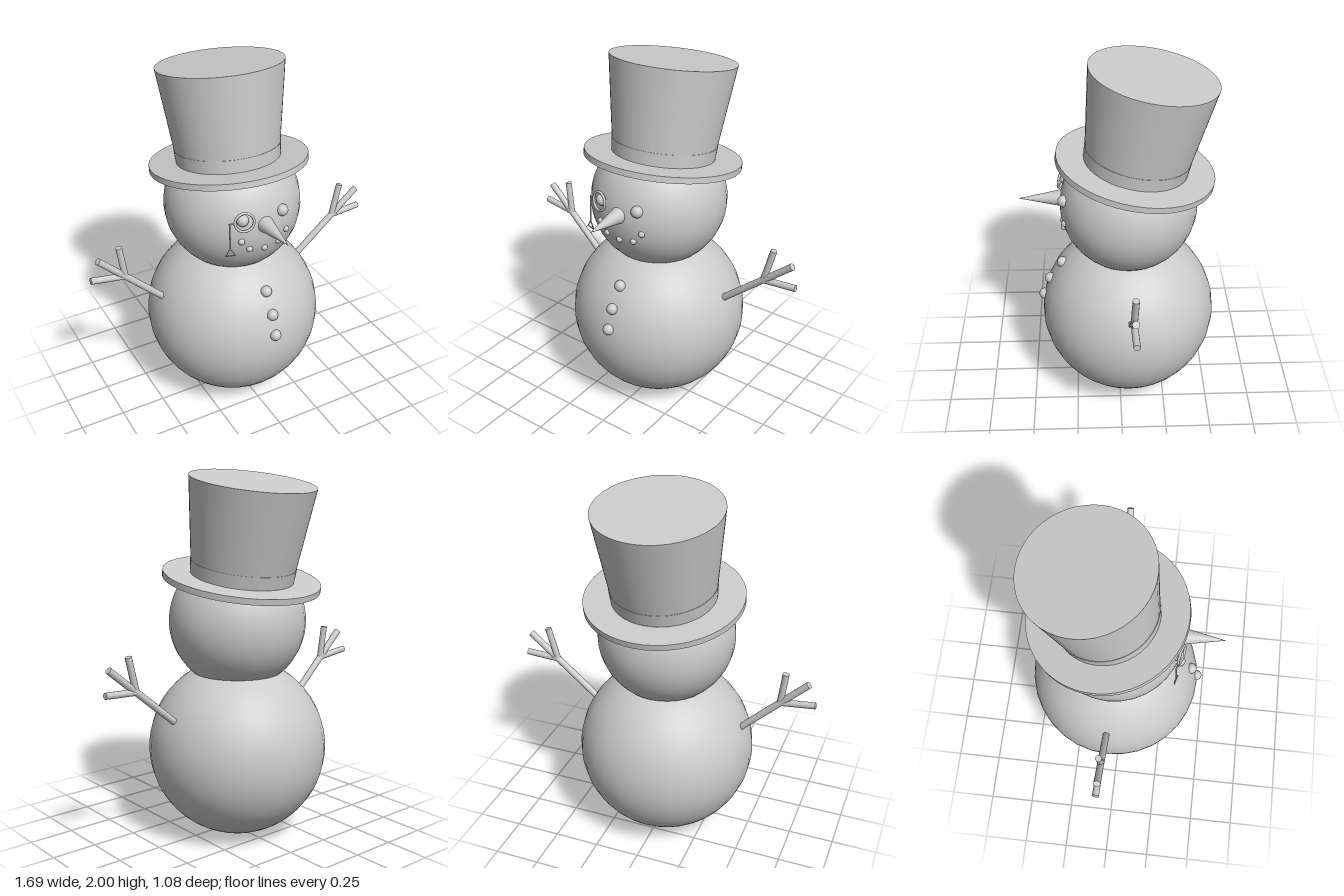
import * as THREE from 'three';

const material = new THREE.MeshStandardMaterial({ color: 0xcccccc });
const CX = -0.008, CZ = -0.05;
const BODY = { y: 0.49, r: 0.489 };
const HEAD = { y: 1.195, r: 0.371 };

function add(parent, name, geometry, x = 0, y = 0, z = 0) {
  const mesh = new THREE.Mesh(geometry, material);
  mesh.name = name;
  mesh.position.set(x, y, z);
  parent.add(mesh);
  return mesh;
}

// Front z of a snowball at a given x, y
function frontZ(ball, x, y) {
  return CZ + Math.sqrt(ball.r ** 2 - (x - CX) ** 2 - (y - ball.y) ** 2);
}

// Straight round stick between two points
function stick(parent, name, from, to, r0, r1 = r0) {
  const a = new THREE.Vector3(...from), b = new THREE.Vector3(...to);
  const dir = b.clone().sub(a);
  const mesh = add(parent, name, new THREE.CylinderGeometry(r1, r0, dir.length(), 12));
  mesh.position.copy(a).add(b).multiplyScalar(0.5);
  mesh.quaternion.setFromUnitVectors(new THREE.Vector3(0, 1, 0), dir.normalize());
  return mesh;
}

export function createModel() {
  const model = new THREE.Group();
  model.name = 'snowman';

  // Snowballs
  add(model, 'body', new THREE.SphereGeometry(BODY.r, 32, 32), CX, BODY.y, CZ);
  add(model, 'head', new THREE.SphereGeometry(HEAD.r, 32, 32), CX, HEAD.y, CZ);

  // Pebbles: eyes, mouth and buttons set into the surface
  const pebbles = (name, ball, r, points) => points.forEach(([x, y]) =>
    add(model, name, new THREE.SphereGeometry(r, 20, 14), x, y, frontZ(ball, x, y)));
  pebbles('eye', HEAD, 0.032, [[-0.13, 1.278], [0.1, 1.278]]);
  pebbles('mouthPebble', HEAD, 0.017,
    [[-0.138, 1.155], [-0.092, 1.1], [-0.008, 1.088], [0.077, 1.1], [0.127, 1.155]]);
  pebbles('button', BODY, 0.031, [[0, 0.81], [0, 0.7], [0, 0.588]]);

  // Carrot nose
  const nose = add(model, 'nose', new THREE.ConeGeometry(0.046, 0.235, 24), CX, 1.232, 0.422);
  nose.rotation.x = Math.PI / 2;

  // Monocle with hanging chain and triangular pendant
  const monocle = new THREE.Group();
  monocle.name = 'monocle';
  monocle.position.set(-0.13, 1.278, 0.313);
  monocle.rotation.set(-0.12, -0.28, 0);
  add(monocle, 'monocleRing', new THREE.TorusGeometry(0.05, 0.007, 10, 36));
  model.add(monocle);
  stick(model, 'chainLink', [-0.18, 1.278, 0.3], [-0.205, 1.278, 0.292], 0.004);
  stick(model, 'chain', [-0.205, 1.28, 0.292], [-0.205, 1.13, 0.3], 0.004);
  const pendant = add(model, 'pendant', new THREE.TorusGeometry(0.029, 0.004, 6, 3), -0.205, 1.108, 0.3);
  pendant.rotation.set(0, -0.28, Math.PI / 2, 'YXZ');

  // Twig arms: main branch plus two fingers from the fork
  const z = -0.053;
  const arms = [
    { name: 'rightArm', root: [-0.442, 0.695], tip: [-0.795, 1.04], fork: [-0.65, 0.9],
      fingers: [[-0.84, 0.926], [-0.672, 1.082]] },
    { name: 'leftArm', root: [0.428, 0.705], tip: [0.82, 1.038], fork: [0.66, 0.902],
      fingers: [[0.845, 0.914], [0.706, 1.09]] },
  ];
  for (const { name, root, tip, fork, fingers } of arms) {
    const arm = new THREE.Group();
    arm.name = name;
    stick(arm, 'branch', [...root, z], [...tip, z], 0.019);
    for (const f of fingers) stick(arm, 'finger', [...fork, z], [...f, z - 0.006], 0.018);
    model.add(arm);
  }

  // Top hat, tipped backwards
  const hat = new THREE.Group();
  hat.name = 'topHat';
  hat.position.set(CX, 1.423, -0.085);
  hat.rotation.x = -THREE.MathUtils.degToRad(9.9);
  add(hat, 'hatBrim', new THREE.CylinderGeometry(0.425, 0.425, 0.033, 48), 0, 0, 0);
  add(hat, 'hatCrown', new THREE.CylinderGeometry(0.336, 0.272, 0.524, 48), 0, 0.262, 0);
  add(hat, 'hatBand', new THREE.CylinderGeometry(0.285, 0.279, 0.075, 48), 0, 0.05, 0);
  model.add(hat);

  return model;
}
